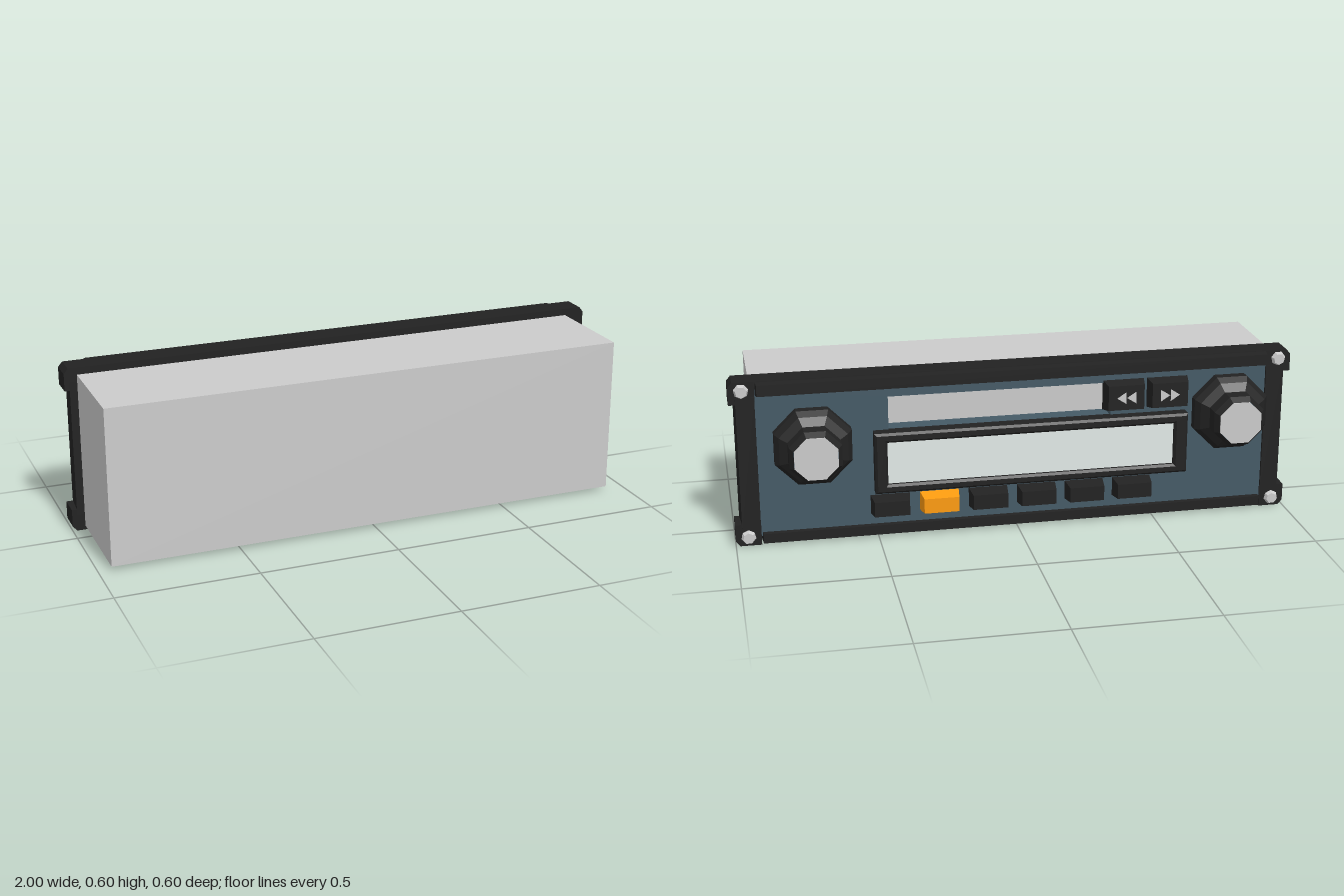
import * as THREE from 'three';

const mat = (color, extra = {}) => new THREE.MeshStandardMaterial({ color, ...extra });

export function createModel() {
  const model = new THREE.Group();
  const grey = mat(0xcccccc, { flatShading: true });
  const black = mat(0x222222, { flatShading: true });
  const blue = mat(0x455a66);
  const orange = mat(0xff9c10);
  const glass = mat(0xe2eae8);

  function add(name, geometry, material, parent = model) {
    const mesh = new THREE.Mesh(geometry, material);
    mesh.name = name;
    parent.add(mesh);
    return mesh;
  }

  // box given by its limits; taper shrinks the face that looks to -z
  function block(name, material, x0, x1, y0, y1, zBack, zFace, taper = 0) {
    const g = new THREE.BoxGeometry(x1 - x0, y1 - y0, zBack - zFace);
    const p = g.attributes.position;
    for (let i = 0; i < p.count; i++) {
      if (p.getZ(i) > 0) continue;
      p.setX(i, p.getX(i) - Math.sign(p.getX(i)) * taper);
      p.setY(i, p.getY(i) - Math.sign(p.getY(i)) * taper);
    }
    g.computeVertexNormals();
    g.translate((x0 + x1) / 2, (y0 + y1) / 2, (zBack + zFace) / 2);
    return add(name, g, material);
  }

  function rectangle(Type, x0, x1, y0, y1) {
    const s = new Type();
    s.moveTo(x0, y0);
    s.lineTo(x1, y0);
    s.lineTo(x1, y1);
    s.lineTo(x0, y1);
    s.closePath();
    return s;
  }

  // plate with a rectangular opening
  function frame(name, material, outer, inner, zBack, zFace, bevel = 0) {
    const shape = rectangle(THREE.Shape, ...outer);
    shape.holes.push(rectangle(THREE.Path, ...inner));
    const g = new THREE.ExtrudeGeometry(shape, {
      depth: zBack - zFace - 2 * bevel, bevelEnabled: bevel > 0, bevelSize: bevel,
      bevelThickness: bevel, bevelOffset: -bevel, bevelSegments: 1,
    });
    g.translate(0, 0, zFace + bevel);
    return add(name, g, material);
  }

  // housing and fascia with the cassette slot
  block('housing', grey, -0.955, 0.925, 0.015, 0.575, 0.3, -0.066);
  frame('fasciaPanel', blue, [-0.93, 0.93, 0.03, 0.57], [-0.34, 0.455, 0.39, 0.515], -0.065, -0.145);

  // surrounding bars
  block('topBar', black, -0.91, 0.91, 0.575, 0.6, -0.065, -0.15);
  block('topLip', black, -0.91, 0.91, 0.548, 0.6, -0.13, -0.178, 0.006);
  block('bottomBar', black, -0.91, 0.91, 0.003, 0.05, -0.065, -0.163, 0.006);
  for (const side of [-1, 1]) {
    const [a, b] = [side * 0.905, side * 0.982].sort((m, n) => m - n);
    block('sideBar', black, a, b, 0.06, 0.55, -0.065, -0.152, 0.006);
  }

  // corner blocks with faceted screws
  for (const side of [-1, 1]) {
    for (const top of [false, true]) {
      const s = new THREE.Shape();
      s.moveTo(-0.045, -0.04);
      s.lineTo(0.045, -0.04);
      s.lineTo(0.045, 0.022);
      s.lineTo(0.03, 0.04);
      s.lineTo(-0.045, 0.04);
      s.closePath();
      const corner = new THREE.Group();
      corner.name = 'corner';
      const g = new THREE.ExtrudeGeometry(s, { depth: 0.085, bevelEnabled: false });
      g.translate(0, 0, -0.15);
      add('cornerBlock', g, mat(0x222222, { side: THREE.DoubleSide, flatShading: true }), corner);
      const screw = add('cornerScrew', new THREE.CylinderGeometry(0.027, 0.02, 0.016, 7), grey, corner);
      screw.rotation.x = Math.PI / 2;
      screw.position.set(0, 0.008, -0.157);
      corner.scale.set(side, top ? 1 : -1, 1);
      corner.position.set(side * 0.955, top ? 0.56 : 0.04, 0);
      model.add(corner);
    }
  }

  // octagonal knobs
  for (const [x, y] of [[0.72, 0.36], [-0.775, 0.385]]) {
    const profile = [[0.145, 0], [0.145, 0.035], [0.128, 0.058], [0.098, 0.078],
      [0.098, 0.13], [0.082, 0.153]].map(([r, h]) => new THREE.Vector2(r, h));
    const knob = new THREE.Group();
    knob.name = 'knob';
    add('knobBody', new THREE.LatheGeometry(profile, 8, Math.PI / 8), black, knob);
    const cap = add('knobCap', new THREE.CylinderGeometry(0.081, 0.081, 0.004, 8), grey, knob);
    cap.rotation.y = Math.PI / 8;
    cap.position.y = 0.152;
    knob.rotation.x = -Math.PI / 2;
    knob.position.set(x, y, -0.143);
    model.add(knob);
  }

  // display
  frame('displayBezel', black, [-0.615, 0.51, 0.172, 0.395], [-0.565, 0.465, 0.205, 0.36], -0.13, -0.192, 0.008);
  block('displayScreen', glass, -0.58, 0.48, 0.19, 0.375, -0.135, -0.175);

  // preset buttons, one of them lit
  for (let i = 0; i < 6; i++) {
    const x = 0.455 - i * 0.175;
    block('presetButton', i === 1 ? orange : black, x - 0.07, x + 0.07, 0.085, 0.155, -0.14, -0.205, 0.008);
  }

  // winding buttons with double arrow marks
  for (const [x, dir] of [[-0.385, 1], [-0.545, -1]]) {
    block('windButton', black, x - 0.075, x + 0.075, 0.415, 0.525, -0.14, -0.192, 0.01);
    for (const shift of [-0.018, 0.018]) {
      const arrow = new THREE.Shape();
      arrow.moveTo(dir * 0.017, 0);
      arrow.lineTo(-dir * 0.017, 0.022);
      arrow.lineTo(-dir * 0.017, -0.022);
      arrow.closePath();
      const mark = add('arrowMark', new THREE.ShapeGeometry(arrow), mat(0xcccccc, { side: THREE.DoubleSide }));
      mark.position.set(x + shift, 0.47, -0.194);
    }
  }

  return model;
}
